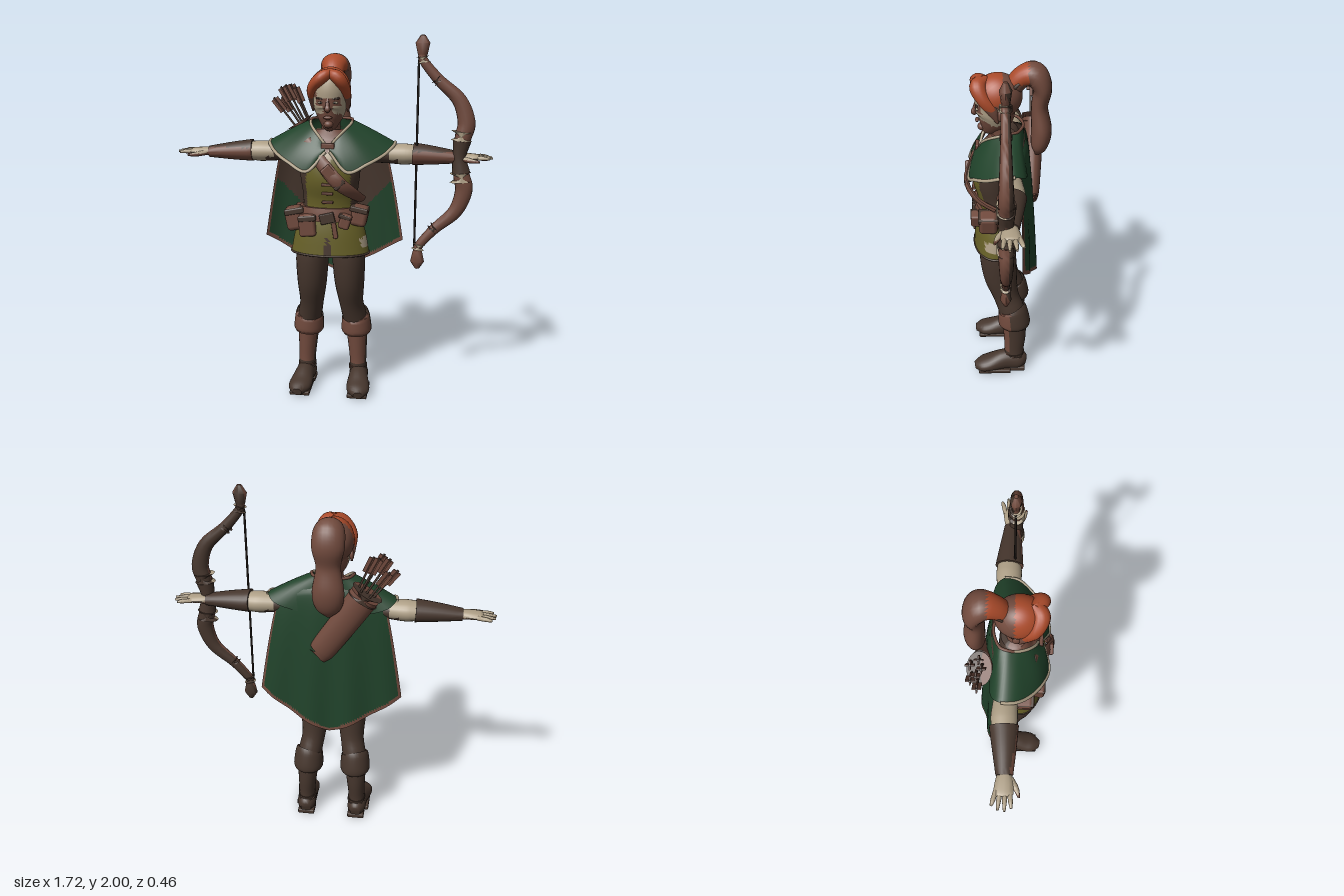
import * as THREE from 'three';
import { toCreasedNormals } from 'three/addons/utils/BufferGeometryUtils.js';
import { RoundedBoxGeometry } from 'three/addons/geometries/RoundedBoxGeometry.js';

const mat = (name, color) => {
  const m = new THREE.MeshStandardMaterial({ color, side: THREE.DoubleSide });
  m.name = name;
  return m;
};
const rust = mat('rust leather', 0x714a3d), dark = mat('dark leather', 0x46362d), green = mat('green cloth', 0x20422a);
const olive = mat('olive cloth', 0x676027), cream = mat('cream linen', 0xae9f86), orange = mat('orange hair', 0xa94a2a);
const black = mat('black', 0x1c1613);
const X = new THREE.Vector3(1, 0, 0), Z = new THREE.Vector3(0, 0, 1);
const V = (a) => new THREE.Vector3(...a);

function build(pos, idx) {
  const g = new THREE.BufferGeometry();
  g.setAttribute('position', new THREE.Float32BufferAttribute(pos, 3));
  g.setIndex(idx);
  return g;
}

// Skin through elliptical sections [x, y, z, radius along ref, radius across]
function sweep(rows, ref = X, n = 20, steps = 4) {
  const path = new THREE.CatmullRomCurve3(rows.map((r) => V(r.slice(0, 3))), false, 'catmullrom');
  const radii = new THREE.CatmullRomCurve3(rows.map((r) => new THREE.Vector3(r[3], r[4], 0)), false, 'catmullrom');
  const m = (rows.length - 1) * steps, pos = [], idx = [];
  for (let i = 0; i <= m; i++) {
    const c = path.getPoint(i / m), r = radii.getPoint(i / m), t = path.getTangent(i / m);
    const up = t.clone().cross(ref).normalize(), side = up.clone().cross(t).normalize();
    for (let j = 0; j < n; j++) {
      const a = (j / n) * Math.PI * 2;
      const p = c.clone().addScaledVector(side, Math.cos(a) * r.x).addScaledVector(up, Math.sin(a) * r.y);
      pos.push(p.x, p.y, p.z);
      if (i < m) {
        const k = (j + 1) % n, A = i * n, B = A + n;
        idx.push(A + j, A + k, B + j, A + k, B + k, B + j);
      }
    }
  }
  const s = pos.length / 3;
  pos.push(...path.getPoint(0).toArray(), ...path.getPoint(1).toArray());
  for (let j = 0; j < n; j++) {
    const k = (j + 1) % n;
    idx.push(s, k, j, s + 1, m * n + j, m * n + k);
  }
  return toCreasedNormals(build(pos, idx), 0.9);
}

// Open cloth sheet from a function of u, v in 0..1
function sheet(nu, nv, fn) {
  const pos = [], idx = [];
  for (let i = 0; i <= nv; i++) for (let j = 0; j <= nu; j++) {
    pos.push(...fn(j / nu, i / nv));
    const a = i * (nu + 1) + j, b = a + nu + 1;
    if (i < nv && j < nu) idx.push(a, b, a + 1, b, b + 1, a + 1);
  }
  const g = build(pos, idx);
  g.computeVertexNormals();
  return g;
}

// Sort faces into material groups by a rule on the face centre
function paint(geo, count, rule) {
  const src = geo.index ? geo.toNonIndexed() : geo, p = src.attributes.position.array, q = src.attributes.normal.array;
  const bins = Array.from({ length: count }, () => [[], []]);
  for (let i = 0; i < p.length; i += 9) {
    const mid = [0, 1, 2].map((k) => (p[i + k] + p[i + 3 + k] + p[i + 6 + k]) / 3);
    const b = bins[rule(...mid)];
    b[0].push(...p.slice(i, i + 9));
    b[1].push(...q.slice(i, i + 9));
  }
  const out = new THREE.BufferGeometry();
  out.setAttribute('position', new THREE.Float32BufferAttribute(bins.flatMap((b) => b[0]), 3));
  out.setAttribute('normal', new THREE.Float32BufferAttribute(bins.flatMap((b) => b[1]), 3));
  let start = 0;
  bins.forEach((b, i) => { out.addGroup(start, b[0].length / 3, i); start += b[0].length / 3; });
  return out;
}

export function createModel() {
  const root = new THREE.Group();
  const add = (name, geo, m, rule) => {
    const o = new THREE.Mesh(rule ? paint(geo, m.length, rule) : geo, m);
    o.name = name;
    root.add(o);
    return o;
  };
  const ball = (name, m, p, s) => { const o = add(name, new THREE.SphereGeometry(1, 16, 12), m); o.position.set(...p); o.scale.set(...s); };
  const box = (name, m, p, s, rz = 0) => { const o = add(name, new RoundedBoxGeometry(...s, 2, Math.min(...s) * 0.25), m); o.position.set(...p); o.rotation.z = rz; };
  const cord = (name, m, pts, r, closed = false) => add(name, new THREE.TubeGeometry(new THREE.CatmullRomCurve3(pts.map(V), closed), 80, r, 8, closed), m);

  // Tunic with open collar, dark side panels and a front slit
  add('tunic', sweep([[0, 0.83, 0.06, 0.215, 0.122], [0, 0.95, 0.055, 0.192, 0.118], [0, 1.07, 0.05, 0.152, 0.105], [0, 1.15, 0.055, 0.148, 0.105],
    [0, 1.25, 0.065, 0.16, 0.12], [0, 1.34, 0.06, 0.165, 0.11], [0, 1.42, 0.03, 0.16, 0.09], [0, 1.5, 0.02, 0.08, 0.07]], X, 64, 6),
  [olive, dark, cream, rust], (x, y, z) => {
    if (z > 0 && y > 1.34 + Math.abs(x) * 0.9) return y < 1.4 ? 2 : 3;
    if (z > 0 && Math.abs(x) < 0.025 * (0.97 - y) / 0.14) return 1;
    if (x > 0.15 && z > 0.03 && z < 0.12 && y > 0.875 && y < 0.925) return 2;
    return y > 1.08 && (Math.abs(x) > 0.118 || z < 0) ? 1 : 0;
  });
  cord('tunic hem', dark, Array.from({ length: 24 }, (_, i) => [0.214 * Math.cos(i * Math.PI / 12), 0.833, 0.06 + 0.121 * Math.sin(i * Math.PI / 12)]), 0.006, true);
  [1.13, 1.18, 1.23].forEach((y) => box('tunic clasp', rust, [0, y, y * 0.25 - 0.118], [0.06, 0.014, 0.02]));
  add('chest strap', sweep([[-0.12, 1.45, 0.12, 0.012, 0.03], [-0.03, 1.345, 0.182, 0.012, 0.036], [0.06, 1.25, 0.215, 0.014, 0.038],
    [0.135, 1.18, 0.16, 0.014, 0.032], [0.172, 1.13, 0.06, 0.014, 0.026]], Z, 12), rust);
  box('strap pouch', rust, [0.025, 1.285, 0.205], [0.11, 0.06, 0.035], -0.8);
  box('strap buckle', dark, [0.07, 1.235, 0.212], [0.022, 0.07, 0.025], -0.8);

  // Belt, buckle and pouches
  add('belt', sweep([[0, 1.02, 0.055, 0.18, 0.124], [0, 1.05, 0.054, 0.176, 0.124], [0, 1.09, 0.052, 0.166, 0.118]], X, 40, 2), rust);
  box('buckle', dark, [0, 1.045, 0.18], [0.08, 0.055, 0.02], 0.25);
  [[-0.19, 1.02, 0.08, 0.1, 0.13, 0.1, 0.2], [-0.11, 1.0, 0.16, 0.09, 0.12, 0.06, 0.1], [0.165, 1.05, 0.1, 0.09, 0.11, 0.1, -0.2],
    [0.095, 1.03, 0.17, 0.06, 0.08, 0.05, -0.3], [-0.17, 1.03, -0.01, 0.06, 0.1, 0.07, 0]].forEach(([x, y, z, w, h, d, r]) => {
    box('pouch', rust, [x, y, z], [w, h, d], r);
    box('pouch flap', dark, [x, y + h * 0.34, z], [w * 1.08, h * 0.26, d * 1.08], r);
  });
  box('belt tail', rust, [0.04, 0.98, 0.178], [0.026, 0.09, 0.012], 0.15);

  // Head, neck and face
  add('neck', sweep([[0, 1.4, 0.01, 0.07, 0.06], [0, 1.5, 0.03, 0.052, 0.05], [0, 1.6, 0.05, 0.055, 0.055]]), rust);
  add('head', sweep([[0, 1.515, 0.115, 0.02, 0.025], [0, 1.545, 0.09, 0.05, 0.062], [0, 1.6, 0.063, 0.08, 0.098], [0, 1.66, 0.058, 0.09, 0.105],
    [0, 1.72, 0.055, 0.095, 0.11], [0, 1.78, 0.05, 0.083, 0.095], [0, 1.82, 0.05, 0.03, 0.04]], X, 40, 5), [rust, cream], (x, y, z) => {
    const a = Math.abs(x);
    return z > 0.02 && ((y > 1.68 && x > -0.06 && x < 0.075) || (a > 0.066 && y > 1.57 && y < 1.68) || (a > 0.025 && y > 1.595 && y < 1.64)) ? 1 : 0;
  });
  add('nose', sweep([[0, 1.675, 0.155, 0.008, 0.01], [0, 1.64, 0.165, 0.011, 0.012], [0, 1.622, 0.17, 0.016, 0.014], [0, 1.61, 0.16, 0.008, 0.008]], X, 10), rust);
  ball('lips', rust, [0, 1.578, 0.153], [0.024, 0.009, 0.01]);
  ball('chin', rust, [0, 1.54, 0.13], [0.025, 0.02, 0.022]);
  for (const s of [-1, 1]) {
    ball('eye', cream, [s * 0.037, 1.655, 0.15], [0.016, 0.007, 0.009]);
    ball('iris', black, [s * 0.037, 1.655, 0.157], [0.006, 0.006, 0.004]);
    box('eyebrow', dark, [s * 0.04, 1.676, 0.153], [0.042, 0.008, 0.012], s * 0.15);
    ball('ear', rust, [s * 0.095, 1.64, 0.03], [0.012, 0.03, 0.02]);
    add('fringe', sweep([[0.01 - s * 0.01, 1.81, 0.11, 0.03, 0.02], [0.01 + s * 0.04, 1.785, 0.145, 0.042, 0.034], [s * 0.084, 1.73, 0.12, 0.034, 0.028],
      [s * 0.095, 1.67, 0.075, 0.028, 0.018], [s * 0.092, 1.6, 0.045, 0.006, 0.006]], Z, 16, 6), [orange, rust], (x, y, z) => (y < 1.675 || z < 0.06 ? 1 : 0));
  }
  const cap = new THREE.SphereGeometry(1, 36, 24, 0, Math.PI * 2, 0, 1.75);
  cap.rotateX(-0.75).scale(0.107, 0.12, 0.126).translate(0, 1.712, 0.045);
  cap.computeVertexNormals();
  add('hair cap', cap, [orange, rust], (x, y, z) => (z < 0.02 || y < 1.7 ? 1 : 0));
  add('ponytail', sweep([[0, 1.76, -0.03, 0.05, 0.05], [0, 1.815, -0.08, 0.062, 0.055], [0, 1.825, -0.14, 0.08, 0.064], [0, 1.755, -0.18, 0.083, 0.05],
    [0, 1.65, -0.168, 0.064, 0.043], [0, 1.52, -0.18, 0.083, 0.054], [0, 1.43, -0.17, 0.068, 0.044], [0, 1.375, -0.16, 0.015, 0.012]], X, 24, 6),
  [rust, orange], (x, y, z) => (z > -0.11 && y > 1.79 ? 1 : 0));
  const tie = add('hair tie', new THREE.TorusGeometry(0.052, 0.01, 8, 24), dark);
  tie.position.set(0, 1.785, -0.05);
  tie.rotation.x = -0.8;

  // Cape with folds, lining and bound edge
  const capePoint = (off) => (u, v) => {
    const k = u * 2 - 1, a = Math.abs(k), low = 0.66 + 0.21 * a ** 1.25, top = 1.5 - 0.08 * a * a;
    return [k * (0.28 + 0.11 * v ** 0.8), top + (low - top) * v,
      off - 0.095 - 0.07 * Math.sqrt(v) + (0.05 + 0.03 * v) * k * k + 0.009 * v * Math.cos(k * 11)];
  };
  const edge = (x, y) => {
    const a = Math.abs(x);
    return a > 0.27 + 0.11 * Math.max(0, (1.42 - y) / 0.55) ** 0.8 || y < 0.682 + 0.21 * (a / 0.39) ** 1.25;
  };
  add('cape', sheet(60, 50, capePoint(0)), [green, rust], (x, y) => (edge(x, y) ? 1 : 0));
  add('cape lining', sheet(60, 50, capePoint(0.006)), [green, rust, dark], (x, y) => (edge(x, y) ? 1 : y > 1.03 + (Math.abs(x) - 0.16) * 1.1 ? 2 : 0));

  // Shoulder mantle between a neck line and a hem, both mirrored
  const full = (h) => [...h, ...h.slice(0, -1).reverse().map(([x, y, z]) => [-x, y, z])];
  const hem = full([[0.012, 1.4, 0.165], [0.11, 1.3, 0.2], [0.21, 1.34, 0.165], [0.29, 1.38, 0.1], [0.335, 1.418, 0.03],
    [0.34, 1.428, -0.04], [0.3, 1.4, -0.09], [0.15, 1.36, -0.105], [0, 1.35, -0.11]]);
  const neck = full([[0.012, 1.43, 0.14], [0.05, 1.475, 0.125], [0.085, 1.51, 0.09], [0.105, 1.53, 0.05], [0.112, 1.54, 0.02],
    [0.11, 1.55, -0.015], [0.095, 1.55, -0.05], [0.05, 1.55, -0.075], [0, 1.55, -0.085]]);
  const hemCurve = new THREE.CatmullRomCurve3(hem.map(V)), neckCurve = new THREE.CatmullRomCurve3(neck.map(V));
  add('shoulder mantle', sheet(72, 10, (u, v) => {
    const p = neckCurve.getPoint(u).lerp(hemCurve.getPoint(u), v), b = Math.sin(Math.PI * v);
    return [p.x, p.y + 0.004 * b, p.z > 0 ? p.z * (1 + 0.08 * b) : p.z];
  }), green);
  cord('mantle front trim', cream, hem.slice(0, 6), 0.009);
  cord('mantle front trim', cream, hem.slice(-6), 0.009);
  cord('collar trim', cream, neck.slice(0, 5), 0.008);
  cord('collar trim', cream, neck.slice(-5), 0.008);
  cord('collar back trim', rust, neck.slice(4, 13), 0.008);
  box('mantle clasp', rust, [0, 1.43, 0.155], [0.07, 0.03, 0.02]);

  // Arms and legs
  for (const s of [-1, 1]) {
    add('sleeve', sweep([[s * 0.14, 1.37, 0, 0.06, 0.05], [s * 0.28, 1.368, -0.015, 0.06, 0.05], [s * 0.38, 1.367, -0.02, 0.067, 0.056],
      [s * 0.42, 1.367, -0.02, 0.066, 0.054], [s * 0.47, 1.367, -0.02, 0.058, 0.048]], Z, 24), [cream, dark],
    (x, y) => (Math.abs(x) < 0.31 || (y < 1.345 && Math.abs(x) < 0.36) ? 1 : 0));
    add('bracer', sweep([[s * 0.44, 1.37, -0.02, 0.074, 0.06], [s * 0.55, 1.365, -0.015, 0.061, 0.049], [s * 0.685, 1.358, -0.01, 0.043, 0.031]], Z, 24),
      [dark, rust], (x, y, z) => (z > 0.018 && y < 1.39 ? 1 : 0));
    const skin = (name, rows) => add(name, sweep(rows.map(([x, ...r]) => [s * x, ...r]), Z, 12), [cream, rust], (x, y) => (y < 1.355 ? 1 : 0));
    skin('hand', [[0.66, 1.358, -0.01, 0.032, 0.025], [0.72, 1.36, -0.01, 0.045, 0.022], [0.775, 1.36, -0.012, 0.048, 0.017], [0.79, 1.36, -0.012, 0.03, 0.01]]);
    [[-0.052, 0.835], [-0.026, 0.855], [0, 0.86], [0.026, 0.845]].forEach(([z, end]) =>
      skin('finger', [[0.76, 1.36, z * 0.85 - 0.005, 0.012, 0.012], [0.81, 1.36, z * 1.1 - 0.005, 0.0115, 0.011], [end, 1.357, z * 1.25 - 0.005, 0.006, 0.006]]));
    skin('thumb', [[0.7, 1.355, 0.02, 0.016, 0.014], [0.745, 1.35, 0.048, 0.014, 0.013], [0.79, 1.347, 0.064, 0.006, 0.006]]);

    add('leg', sweep([[s * 0.085, 0.95, 0.055, 0.07, 0.08], [s * 0.1, 0.82, 0.052, 0.09, 0.1], [s * 0.105, 0.66, 0.038, 0.083, 0.094],
      [s * 0.113, 0.52, 0.006, 0.067, 0.073], [s * 0.13, 0.42, -0.028, 0.068, 0.074], [s * 0.138, 0.33, -0.04, 0.06, 0.065]], X, 24), dark);
    add('boot cuff', sweep([[s * 0.133, 0.435, -0.03, 0.072, 0.076], [s * 0.135, 0.42, -0.034, 0.08, 0.084], [s * 0.138, 0.345, -0.042, 0.086, 0.092],
      [s * 0.139, 0.32, -0.043, 0.076, 0.08]], X, 28), [dark, rust], (x, y, z) => (z > -0.02 ? 1 : 0));
    add('boot shaft', sweep([[s * 0.14, 0.35, -0.042, 0.062, 0.068], [s * 0.145, 0.24, -0.045, 0.053, 0.064], [s * 0.149, 0.14, -0.042, 0.047, 0.056],
      [s * 0.15, 0.06, -0.04, 0.05, 0.06]], X, 24), [dark, rust], (x, y, z) => (z > -0.015 && y > 0.14 ? 1 : 0));
    add('boot strap', sweep([[s * 0.149, 0.1, -0.04, 0.053, 0.063], [s * 0.149, 0.122, -0.04, 0.052, 0.062]], X, 24, 1), [dark, rust], (x, y, z) => (z > -0.02 ? 1 : 0));
    add('boot foot', sweep([[s * 0.149, 0.05, -0.108, 0.03, 0.035], [s * 0.151, 0.06, -0.07, 0.053, 0.058], [s * 0.156, 0.065, 0.01, 0.054, 0.063],
      [s * 0.163, 0.047, 0.1, 0.065, 0.045], [s * 0.17, 0.038, 0.15, 0.058, 0.036], [s * 0.172, 0.03, 0.19, 0.026, 0.022]], X, 24), dark);
    box('boot heel', dark, [s * 0.15, 0.014, -0.06], [0.098, 0.028, 0.09]);
    box('boot sole', dark, [s * 0.163, 0.012, 0.075], [0.112, 0.024, 0.19]);
  }

  // Bow: limbs, pointed tips, grip, bindings and string
  const half = [[0.683, 1.365, 0.03, 0.034], [0.7, 1.47, 0.038, 0.044], [0.714, 1.55, 0.036, 0.046], [0.672, 1.665, 0.03, 0.038],
    [0.566, 1.765, 0.025, 0.029], [0.485, 1.86, 0.022, 0.024], [0.475, 1.9, 0.02, 0.022]];
  const row = (f) => ([x, y, a, b]) => [x, f > 0 ? y : 2.73 - y, 0.01, a, b];
  const back = (x, y, z) => (z < 0 ? 1 : 0);
  for (const f of [1, -1]) {
    const r = row(f);
    add('bow limb', sweep(half.map(r), Z, 16, 5), [rust, dark], back);
    add('bow tip', sweep([[0.476, 1.885, 0.02, 0.02], [0.476, 1.9, 0.022, 0.026], [0.476, 1.955, 0.03, 0.038], [0.476, 1.995, 0.01, 0.012]].map(r), Z, 8, 1), [rust, dark], back);
    add('tip binding', sweep([[0.483, 1.855, 0.03, 0.034], [0.477, 1.885, 0.03, 0.034]].map(r), Z, 16, 1), [cream, dark], back);
    add('limb binding', sweep([[0.692, 1.452, 0.045, 0.056], [0.696, 1.5, 0.046, 0.058]].map(r), Z, 16, 1), [cream, dark], (x, y, z) => (z < 0 || x > 0.71 ? 1 : 0));
    add('binding cord', sweep([[0.567, 1.755, 0.029, 0.033], [0.551, 1.772, 0.029, 0.033]].map(r), Z, 16, 1), dark);
  }
  add('bow grip', sweep([[0.695, 1.28, 0.01, 0.042, 0.048], [0.684, 1.365, 0.01, 0.036, 0.036], [0.695, 1.45, 0.01, 0.042, 0.048]], Z, 16), dark);
  cord('bowstring', black, [[0.458, 0.86, 0.01], [0.458, 1.37, 0.01], [0.458, 1.87, 0.01]], 0.006);

  // Quiver slung across the back, with fletched arrows
  add('quiver', sweep([[0.05, 1.145, -0.13, 0.03, 0.055], [0.035, 1.165, -0.132, 0.042, 0.07], [-0.08, 1.335, -0.14, 0.05, 0.076], [-0.185, 1.495, -0.145, 0.056, 0.08]], Z, 24), rust);
  add('quiver rim', sweep([[-0.172, 1.475, -0.145, 0.061, 0.085], [-0.197, 1.515, -0.147, 0.063, 0.088]], Z, 24, 1), [rust, dark], (x, y, z) => (z < -0.14 ? 1 : 0));
  [[0, 0, 0.24], [0.045, 0.01, 0.2], [-0.04, 0.005, 0.21], [0.02, 0.025, 0.235], [-0.02, -0.028, 0.19], [0.03, -0.028, 0.225]].forEach(([a, z, len]) => {
    const arrow = new THREE.Group();
    arrow.name = 'arrow';
    const piece = (name, geo, m, y) => { const o = new THREE.Mesh(geo, m); o.name = name; o.position.y = y; arrow.add(o); };
    piece('shaft', new THREE.CylinderGeometry(0.006, 0.006, len + 0.1, 8), dark, len / 2 - 0.05);
    piece('fletching', new THREE.BoxGeometry(0.044, 0.085, 0.007), rust, len - 0.05);
    piece('fletching', new THREE.BoxGeometry(0.007, 0.085, 0.044), rust, len - 0.05);
    arrow.position.set(-0.185 + a * 0.85, 1.5 + a * 0.53, -0.155 + z);
    arrow.rotation.z = 0.54 - a * 3;
    root.add(arrow);
  });
  return root;
}
